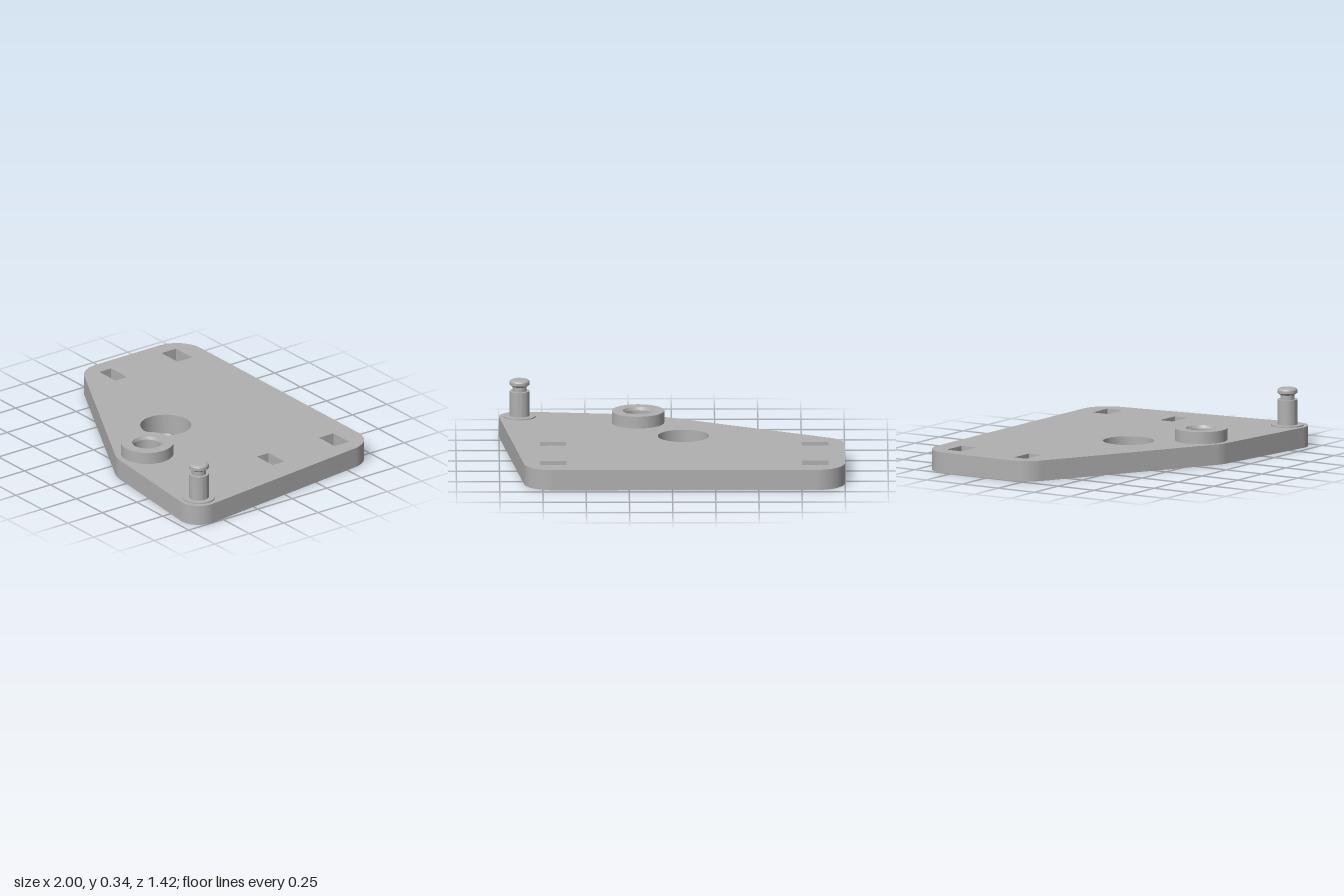
import * as THREE from 'three';
import { toCreasedNormals } from 'three/addons/utils/BufferGeometryUtils.js';

const CREASE = 0.4;
const THICK = 0.12;
const BOSS = { x: 0.195, z: 0.445 };
const PIN = { x: 0.88, z: 0.587 };

// Corner circles of the plate, counter-clockwise: x, -z, radius
const CORNERS = [
  [BOSS.x, -BOSS.z, 0.187],
  [PIN.x, -PIN.z, 0.12],
  [0.69, 0.54, 0.17],
  [-0.83, 0.54, 0.17],
  [-0.83, 0.08, 0.17],
];

// Outward angle of the outer tangent running from circle a to circle b
function tangentAngle([ax, ay, ar], [bx, by, br]) {
  const dx = bx - ax, dy = by - ay;
  return Math.atan2(dy, dx) - Math.acos((ar - br) / Math.hypot(dx, dy));
}

function plateShape() {
  const shape = new THREE.Shape();
  const n = CORNERS.length;
  CORNERS.forEach((c, i) => {
    const start = tangentAngle(CORNERS[(i + n - 1) % n], c);
    const end = tangentAngle(c, CORNERS[(i + 1) % n]);
    shape.absarc(c[0], c[1], c[2], start, end, false);
  });
  shape.closePath();

  // Round holes: large opening and the bore under the boss
  for (const [x, z, r] of [[-0.066, 0.115, 0.148], [BOSS.x, BOSS.z, 0.088]]) {
    shape.holes.push(new THREE.Path().absarc(x, -z, r, 0, Math.PI * 2, true));
  }

  // Four rectangular slots
  for (const [x0, x1] of [[-0.905, -0.75], [0.613, 0.765]]) {
    for (const [z0, z1] of [[-0.59, -0.485], [-0.12, -0.035]]) {
      const slot = new THREE.Path();
      slot.moveTo(x0, -z0).lineTo(x1, -z0).lineTo(x1, -z1).lineTo(x0, -z1);
      slot.closePath();
      shape.holes.push(slot);
    }
  }
  return shape;
}

function turned(profile, { x, z }) {
  const points = profile.map(([r, y]) => new THREE.Vector2(r, y));
  const geometry = toCreasedNormals(new THREE.LatheGeometry(points, 48), CREASE);
  return geometry.translate(x, 0, z);
}

export function createModel() {
  const model = new THREE.Group();
  model.name = 'mountingPlate';
  const grey = new THREE.MeshStandardMaterial({ color: 0xb0b0b0 });
  grey.name = 'plain grey';

  const add = (name, geometry) => {
    const mesh = new THREE.Mesh(geometry, grey);
    mesh.name = name;
    model.add(mesh);
  };

  // Flat plate with rounded corners and cut-outs
  const plate = new THREE.ExtrudeGeometry(plateShape(), {
    depth: THICK, bevelEnabled: false, curveSegments: 32,
  });
  add('plate', toCreasedNormals(plate.rotateX(-Math.PI / 2), CREASE));

  // Raised ring with a bore chamfered at both ends
  add('boss', turned([
    [0.152, THICK], [0.152, 0.19], [0.088, 0.19],
    [0.08, 0.172], [0.08, 0.018], [0.088, 0],
  ], BOSS));

  // Pin with a thin flange, grooved neck and bevelled head
  add('pin', turned([
    [0.094, THICK], [0.094, 0.127], [0.058, 0.127], [0.058, 0.274],
    [0.041, 0.274], [0.041, 0.3], [0.058, 0.312], [0.058, 0.328],
    [0.054, 0.336], [0.046, 0.34], [0, 0.34],
  ], PIN));

  return model;
}
